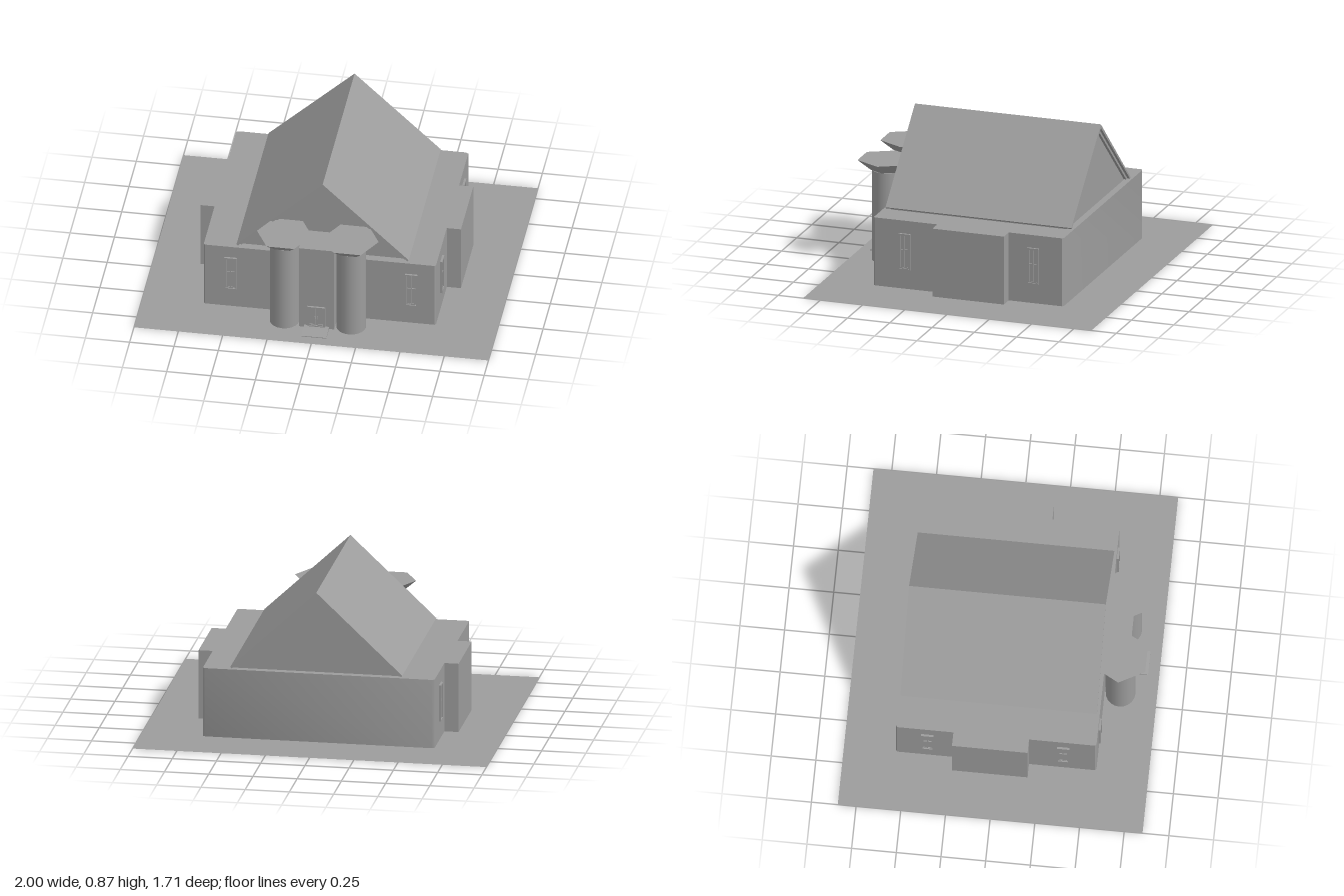
import * as THREE from 'three';
import { toCreasedNormals } from 'three/addons/utils/BufferGeometryUtils.js';

const color = 0x9c9c9c;
const material = new THREE.MeshStandardMaterial({ color, side: THREE.DoubleSide });
const flat = new THREE.MeshStandardMaterial({ color, side: THREE.DoubleSide, flatShading: true });

function add(parent, name, geometry, x = 0, y = 0, z = 0, mat = material) {
  const mesh = new THREE.Mesh(geometry, mat);
  mesh.name = name;
  mesh.position.set(x, y, z);
  parent.add(mesh);
}

const box = (w, h, d) => new THREE.BoxGeometry(w, h, d);

function extrude(points, depth) {
  const shape = new THREE.Shape(points.map(([x, y]) => new THREE.Vector2(x, y)));
  return new THREE.ExtrudeGeometry(shape, { depth, bevelEnabled: false });
}

// Rectangular frame standing in the xy plane, centred, its back at z = 0
function frame(w, h, border, depth) {
  const shape = new THREE.Shape();
  shape.moveTo(-w / 2, -h / 2).lineTo(w / 2, -h / 2).lineTo(w / 2, h / 2).lineTo(-w / 2, h / 2);
  const a = w / 2 - border, b = h / 2 - border;
  const hole = new THREE.Path();
  hole.moveTo(-a, -b).lineTo(-a, b).lineTo(a, b).lineTo(a, -b);
  shape.holes.push(hole);
  return new THREE.ExtrudeGeometry(shape, { depth, bevelEnabled: false });
}

// Tall window: stepped frame, glass and glazing bars, facing +z
function makeWindow() {
  const g = new THREE.Group();
  g.name = 'window';
  add(g, 'windowFrame', frame(0.07, 0.21, 0.007, 0.012));
  add(g, 'windowSash', frame(0.056, 0.196, 0.006, 0.006));
  add(g, 'windowGlass', box(0.044, 0.184, 0.002), 0, 0, 0.001);
  add(g, 'windowMullion', box(0.005, 0.184, 0.008), 0, 0, 0.004);
  add(g, 'windowTransom', box(0.044, 0.005, 0.008), 0, 0.01, 0.004);
  return g;
}

// Double door facing +z, standing on its own base
function makeDoor() {
  const g = new THREE.Group();
  g.name = 'door';
  add(g, 'doorFrame', frame(0.1, 0.13, 0.006, 0.012), 0, 0.065, 0);
  for (const s of [-1, 1]) {
    add(g, 'doorLeaf', frame(0.041, 0.118, 0.006, 0.008), s * 0.0235, 0.065, 0);
    add(g, 'doorPanel', box(0.029, 0.106, 0.002), s * 0.0235, 0.065, 0.001);
    add(g, 'doorHandle', box(0.003, 0.02, 0.006), s * 0.007, 0.06, 0.01);
  }
  return g;
}

export function createModel() {
  const model = new THREE.Group();
  model.name = 'hall';

  // Ground sheet
  add(model, 'ground', new THREE.PlaneGeometry(2, 1.705).rotateX(-Math.PI / 2));

  // Main block with a shallow bay on each side, outlined in (x, -z);
  // the rear wall shades softly into its chamfered corners
  const half = [
    [0.647, -0.56], [0.655, -0.552], [0.655, -0.183], [0.735, -0.183],
    [0.735, 0.24], [0.655, 0.24], [0.655, 0.555], [0.64, 0.5635],
  ];
  const outline = [...half, ...half.map(([x, y]) => [-x, y]).reverse()];
  const walls = extrude(outline, 0.398).rotateX(-Math.PI / 2);
  add(model, 'walls', toCreasedNormals(walls, 0.65), 0, 0.002, 0);

  // Gable infill set back under the overhanging pitched roof
  const cx = 0.014;
  add(model, 'gable', extrude([[-0.478, 0.398], [0.478, 0.398], [0.478, 0.404], [0, 0.848], [-0.478, 0.404]], 1.04), cx, 0, -0.525);
  add(model, 'roof', extrude([
    [-0.486, 0.412], [-0.478, 0.404], [0, 0.848], [0.478, 0.404], [0.486, 0.412], [0, 0.87],
  ], 1.1), cx, 0, -0.555);
  // Verge boards tight under the roof at both gable ends
  for (const z of [-0.54, 0.515]) {
    add(model, 'vergeBoard', extrude([
      [-0.478, 0.404], [-0.458, 0.404], [0, 0.829], [0.458, 0.404], [0.478, 0.404], [0, 0.848],
    ], 0.015), cx, 0, z);
  }

  // Entrance block with door and sloping step
  add(model, 'entranceBlock', box(0.2, 0.528, 0.205), 0.004, 0.266, 0.593);
  const door = makeDoor();
  door.position.set(0.004, 0.016, 0.695);
  model.add(door);
  const step = extrude([[0.69, 0.001], [0.79, 0.001], [0.79, 0.005], [0.73, 0.016], [0.69, 0.016]], 0.14);
  add(model, 'step', step.rotateY(-Math.PI / 2), 0.075, 0, 0);

  // Round pillars with flared six-sided capitals
  for (const s of [-1, 1]) {
    const x = 0.004 + s * 0.188;
    add(model, 'pillar', new THREE.CylinderGeometry(0.083, 0.083, 0.528, 20), x, 0.266, 0.648);
    const capital = new THREE.CylinderGeometry(0.155, 0.085, 0.06, 6).rotateY(Math.PI / 6).scale(1, 1, 1.07);
    add(model, 'capital', capital, x, 0.56, 0.65, flat);
  }

  // Windows on the front and on both sides
  for (const s of [-1, 1]) {
    const front = makeWindow();
    front.position.set(0.008 + s * 0.51, 0.225, 0.56);
    model.add(front);
    for (const z of [0.375, -0.385]) {
      const side = makeWindow();
      side.position.set(s * 0.655, 0.22, z);
      side.rotation.y = s * Math.PI / 2;
      model.add(side);
    }
  }
  return model;
}
